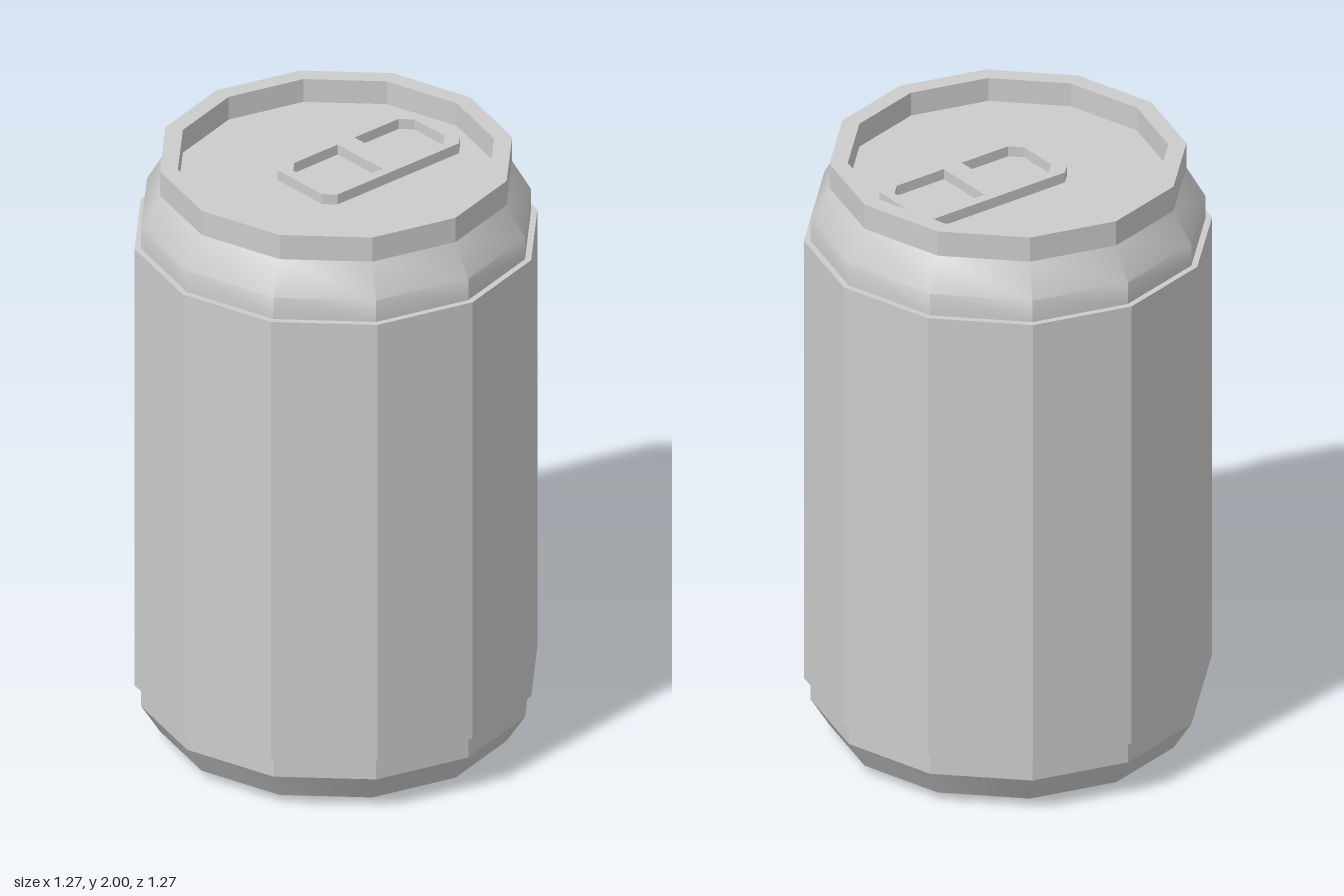
import * as THREE from 'three';
import { toCreasedNormals } from 'three/addons/utils/BufferGeometryUtils.js';

const SIDES = 12;
const CREASE = THREE.MathUtils.degToRad(29.5); // upright facets stay flat, tapers go smooth
const LID_Y = 1.92;

// Turn a profile of [radius, y] points, listed so the outside faces out
function turned(name, profile, material) {
  const points = profile.map(([r, y]) => new THREE.Vector2(r, y));
  const mesh = new THREE.Mesh(toCreasedNormals(new THREE.LatheGeometry(points, SIDES), CREASE), material);
  mesh.name = name;
  return mesh;
}

// Rectangle corners with separate corner cuts at the low and high y ends
function cutRectangle(halfWidth, y0, y1, cutLow, cutHigh) {
  const w = halfWidth, a = cutLow, b = cutHigh;
  const corners = [];
  if (a) corners.push([-w, y0 + a], [-w + a, y0], [w - a, y0], [w, y0 + a]);
  else corners.push([-w, y0], [w, y0]);
  if (b) corners.push([w, y1 - b], [w - b, y1], [-w + b, y1], [-w, y1 - b]);
  else corners.push([w, y1], [-w, y1]);
  return corners.map(([x, y]) => new THREE.Vector2(x, y));
}

export function createModel() {
  const can = new THREE.Group();
  can.name = 'drinkCan';
  const metal = new THREE.MeshStandardMaterial({ color: 0xcccccc });

  // Slightly domed base with its bevel
  can.add(turned('base', [[0, 0], [0.557, 0.03], [0.617, 0.125], [0.617, 0.2]], metal));

  // Wide sleeve with a small step at each end
  can.add(turned('body', [[0.617, 0.2], [0.637, 0.2], [0.637, 1.735], [0.617, 1.735]], metal));

  // Tapered shoulder
  can.add(turned('shoulder', [[0.617, 1.735], [0.617, 1.81], [0.557, 1.915]], metal));

  // Raised rim and recessed lid
  can.add(turned('rim', [[0.557, 1.915], [0.557, 2], [0.5, 2], [0.5, LID_Y]], metal));
  can.add(turned('lid', [[0.5, LID_Y], [0, LID_Y]], metal));

  // Pull tab with two openings, lying on the lid
  const outline = new THREE.Shape(cutRectangle(0.138, -0.15, 0.42, 0.033, 0.033));
  outline.holes.push(
    new THREE.Path(cutRectangle(0.105, -0.115, 0.1, 0.035, 0)),
    new THREE.Path(cutRectangle(0.105, 0.17, 0.387, 0, 0.035)),
  );
  const tabGeometry = new THREE.ExtrudeGeometry(outline, { depth: 0.035, bevelEnabled: false });
  tabGeometry.rotateX(-Math.PI / 2);
  const tab = new THREE.Mesh(tabGeometry, metal);
  tab.name = 'pullTab';
  tab.position.y = LID_Y;
  can.add(tab);

  return can;
}
